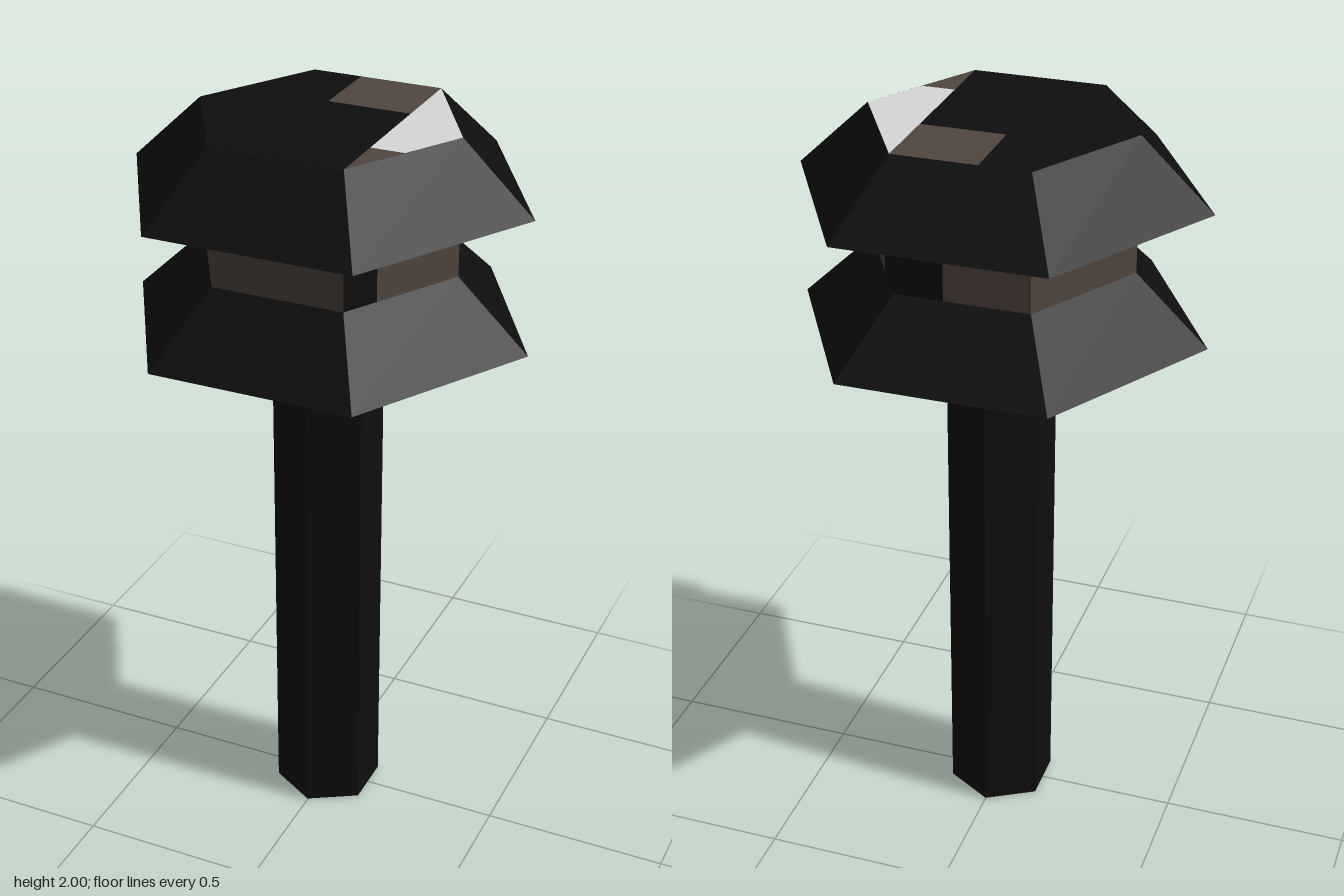
import * as THREE from 'three';

const R = 0.35;          // lens and hood-top radius
const HX = 0.175, HZ = 0.303;

function material(name, color) {
  const m = new THREE.MeshStandardMaterial({ color, flatShading: true, side: THREE.DoubleSide });
  m.name = name;
  return m;
}

// Flat horizontal polygon from [x, z] points
function plate(points, y) {
  const shape = new THREE.Shape(points.map(([x, z]) => new THREE.Vector2(x, -z)));
  return new THREE.ShapeGeometry(shape).rotateX(-Math.PI / 2).translate(0, y, 0);
}

// Upright wall between two [x, z] points
function wall([ax, az], [bx, bz], y0, y1) {
  const g = new THREE.BufferGeometry();
  g.setAttribute('position', new THREE.Float32BufferAttribute(
    [ax, y0, az, bx, y0, bz, bx, y1, bz, ax, y1, az], 3));
  g.setIndex([0, 1, 2, 0, 2, 3]);
  g.computeVertexNormals();
  return g;
}

export function createModel() {
  const black = material('black metal', 0x0e0e0e);
  const brown = material('brown glass', 0x52463f);
  const white = material('pale grey', 0xd8d8d8);

  const model = new THREE.Group();
  model.name = 'pathLight';
  const add = (name, geometry, mat, parent = model) => {
    const mesh = new THREE.Mesh(geometry, mat);
    mesh.name = name;
    parent.add(mesh);
    return mesh;
  };

  // Hexagonal post, corners towards front and back
  add('post', new THREE.CylinderGeometry(0.145, 0.145, 1.638, 6).translate(0, 0.821, 0), black);
  add('postFoot', plate([[0.125, -0.072], [0, -0.145], [-0.125, -0.072], [-0.125, -0.05],
    [0, 0.1], [0.1, 0.015]], 0), brown);

  // Two hollow flared hoods
  [['lowerHood', 1.55], ['upperHood', 1.91]].forEach(([name, y]) => {
    add(name, new THREE.CylinderGeometry(R, 0.54, 0.18, 6, 1, true, Math.PI / 2)
      .translate(0, y, 0), black);
  });
  add('lowerHoodTop', new THREE.CircleGeometry(R, 6).rotateX(-Math.PI / 2)
    .translate(0, 1.64, 0), black);

  // Top of the upper hood, split by colour
  const top = new THREE.Group();
  top.name = 'upperHoodTop';
  model.add(top);
  add('topBlack', plate([[-R, 0], [-HX, HZ], [HX, HZ], [HX, -0.1], [-0.045, -0.1],
    [-0.045, -HZ], [-HX, -HZ]], 2), black, top);
  add('topBrownPatch', plate([[-0.045, -0.1], [HX, -0.1], [HX, -HZ], [-0.045, -HZ]], 2), brown, top);
  add('topPalePanel', plate([[HX, -HZ], [HX, 0.15], [0.263, 0.15], [R, 0]], 2), white, top);
  add('topBrownCorner', plate([[HX, 0.15], [HX, HZ], [0.263, 0.15]], 2), brown, top);

  // Lens walls around the hexagon; each entry starts a strip of its colour
  const lens = new THREE.Group();
  lens.name = 'lens';
  model.add(lens);
  const strips = [
    [-HX, HZ, brown], [HX, HZ, black], [0.225, 0.217, brown], [R, 0, brown],
    [0.24, -0.19, black], [HX, -HZ, black], [0.047, -HZ, brown],
    [-HX, -HZ, brown], [-R, 0, brown],
  ];
  strips.forEach((p, i) => {
    const q = strips[(i + 1) % strips.length];
    add('lensPanel' + (i + 1), wall(p, q, 1.64, 1.995), p[2], lens);
  });

  return model;
}
